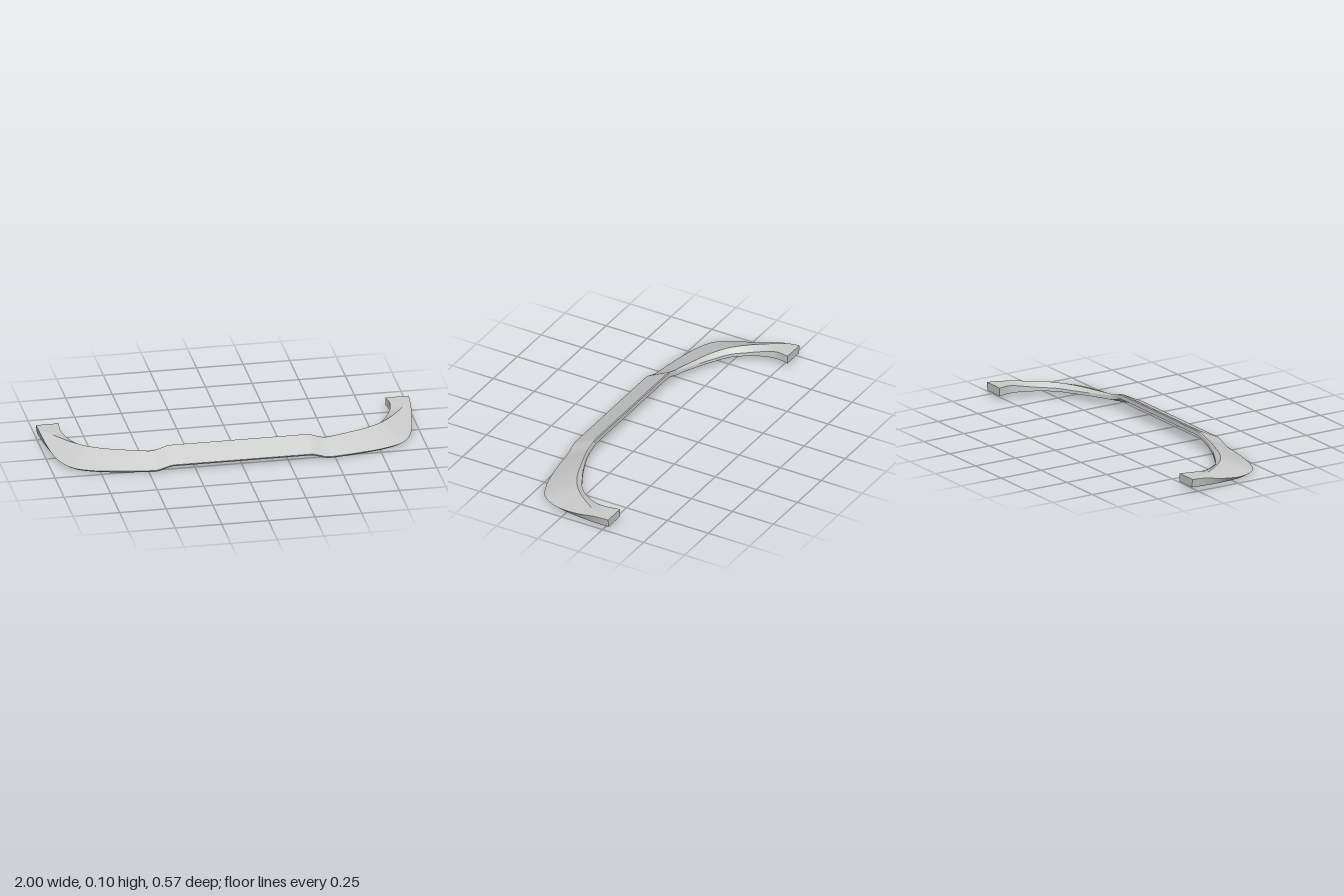
import * as THREE from 'three';
import { mergeGeometries } from 'three/addons/utils/BufferGeometryUtils.js';

// Edge lines of one half, from the centre outward to the rear tip: [x, y, z]
const EDGES = {
  outerBottom: [[.37, .003, .276], [.47, .003, .27], [.62, .003, .248], [.77, .003, .212], [.872, .003, .158],
    [.932, .005, .055], [.967, .013, -.09], [.985, .021, -.2], [.994, .028, -.284]],
  outerTop: [[.37, .013, .283], [.47, .013, .277], [.62, .013, .256], [.78, .013, .22], [.885, .014, .167],
    [.946, .017, .06], [.98, .04, -.09], [.994, .065, -.2], [1, .073, -.284]],
  crest: [[.37, .073, .157], [.46, .073, .156], [.59, .073, .118], [.7, .073, .078], [.785, .073, .03],
    [.85, .073, -.03], [.92, .073, -.12], [.975, .073, -.21], [.99, .073, -.284]],
  innerTop: [[.37, .068, .153], [.455, .067, .152], [.58, .055, .108], [.68, .05, .06], [.77, .05, .005],
    [.83, .052, -.07], [.868, .06, -.14], [.885, .071, -.21], [.875, .073, -.284]],
  innerBottom: [[.37, .045, .152], [.455, .044, .15], [.58, .038, .107], [.68, .034, .059], [.77, .032, .004],
    [.83, .031, -.071], [.868, .03, -.141], [.885, .029, -.211], [.875, .028, -.284]],
};
const STEPS = 64;

// Raised middle portion, blending down to the side portions
const lift = x => .027 * (1 - THREE.MathUtils.smoothstep(x, .36, .475));

// Full left-to-right line for one edge, mirrored about x = 0
function fullEdge(points) {
  const curve = new THREE.CatmullRomCurve3(points.map(p => new THREE.Vector3(...p)));
  const half = curve.getPoints(STEPS);
  half.forEach(p => { p.y += lift(p.x); });
  const mirrored = half.map(p => new THREE.Vector3(-p.x, p.y, p.z)).reverse();
  return [...mirrored, ...half];
}

// Smooth strip between two neighbouring edges
function strip(a, b) {
  const g = new THREE.BufferGeometry().setFromPoints([...a, ...b]);
  const n = a.length, index = [];
  for (let i = 0; i < n - 1; i++) {
    index.push(i, i + 1, n + i, i + 1, n + i + 1, n + i);
  }
  g.setIndex(index);
  g.computeVertexNormals();
  return g;
}

// Flat end face closing the section
function cap(ring) {
  const g = new THREE.BufferGeometry().setFromPoints(ring);
  const index = [];
  for (let i = 1; i < ring.length - 1; i++) index.push(0, i, i + 1);
  g.setIndex(index);
  g.computeVertexNormals();
  return g;
}

export function createModel() {
  const group = new THREE.Group();
  group.name = 'frontLip';
  const material = new THREE.MeshStandardMaterial({ color: 0xcccccc, side: THREE.DoubleSide });
  const add = (name, geometry) => {
    const mesh = new THREE.Mesh(geometry, material);
    mesh.name = name;
    group.add(mesh);
  };

  // Curved blade lofted around the five edge lines
  const lines = Object.values(EDGES).map(fullEdge);
  add('blade', mergeGeometries(lines.map((l, j) => strip(l, lines[(j + 1) % lines.length]))));

  // Rear faces of the two tips
  add('rightTip', cap(lines.map(l => l[0])));
  add('leftTip', cap(lines.map(l => l[l.length - 1]).reverse()));
  return group;
}
